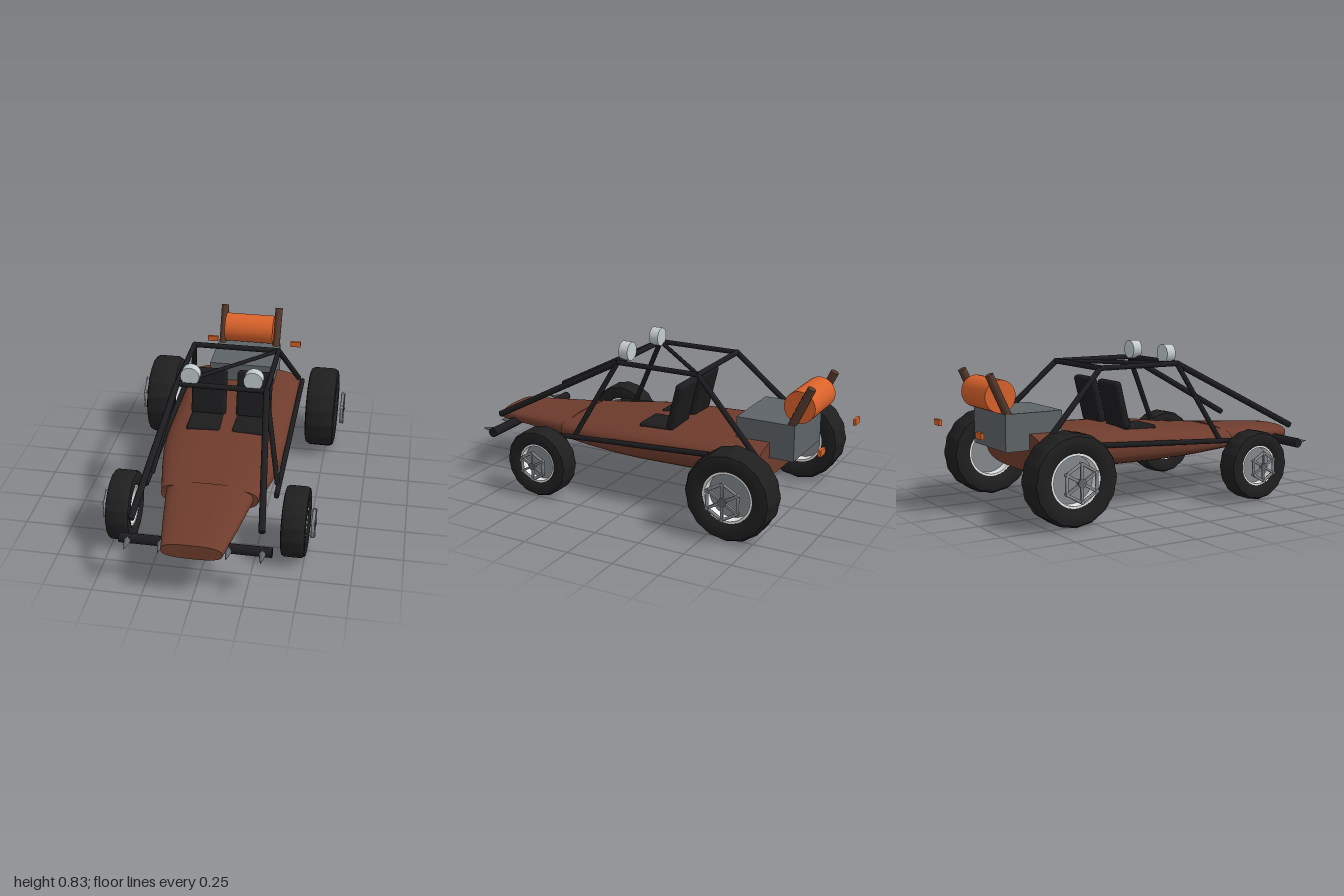
import * as THREE from 'three';
import { toCreasedNormals } from 'three/addons/utils/BufferGeometryUtils.js';
import { RoundedBoxGeometry } from 'three/addons/geometries/RoundedBoxGeometry.js';

const mat = (name, color) => {
  const m = new THREE.MeshStandardMaterial({ color });
  m.name = name;
  return m;
};

export function createModel() {
  const model = new THREE.Group();
  model.name = 'buggy';
  const rust = mat('rust paint', 0x6e3c2d);
  const black = mat('cage black', 0x1c1c1e);
  const rubber = mat('tyre rubber', 0x1f1f20);
  const grey = mat('engine grey', 0x5e6468);
  const steel = mat('rim steel', 0x85898d);
  const chrome = mat('rim lip', 0xeeeeee);
  const lamp = mat('lamp glass', 0xc4cccd);
  const orange = mat('orange', 0xd9622b);
  const pipe = mat('exhaust brown', 0x54382b);

  const add = (name, geo, material, pos = [0, 0, 0], parent = model) => {
    const m = new THREE.Mesh(geo, material);
    m.name = name;
    m.position.set(...pos);
    parent.add(m);
    return m;
  };
  const V = (p) => new THREE.Vector3(...p);
  const rod = (name, a, b, r, material = black, r2 = r) => {
    const d = V(b).sub(V(a));
    const m = add(name, new THREE.CylinderGeometry(r2, r, d.length(), 10), material,
      V(a).add(V(b)).multiplyScalar(0.5).toArray());
    m.quaternion.setFromUnitVectors(new THREE.Vector3(0, 1, 0), d.normalize());
    return m;
  };

  // Superellipse loft; sections run back to front as [z, halfWidth, bottom, top]
  const loft = (sections, n) => {
    const N = 40, pos = [], idx = [];
    const pw = (v) => Math.sign(v) * Math.abs(v) ** (2 / n);
    const ring = ([z, w, lo, hi]) => {
      for (let j = 0; j < N; j++) {
        const a = (j / N) * Math.PI * 2;
        pos.push(w * pw(Math.cos(a)), (lo + hi) / 2 + (hi - lo) / 2 * pw(Math.sin(a)), z);
      }
    };
    sections.forEach(ring);
    for (let i = 0; i < sections.length - 1; i++) {
      for (let j = 0; j < N; j++) {
        const k = (j + 1) % N, a = i * N + j, b = i * N + k;
        idx.push(a, b, b + N, a, b + N, a + N);
      }
    }
    [0, sections.length - 1].forEach((s, end) => {
      const c = pos.length / 3, [z, , lo, hi] = sections[s];
      pos.push(0, (lo + hi) / 2, z);
      for (let j = 0; j < N; j++) {
        const p = s * N + j, q = s * N + (j + 1) % N;
        if (end) idx.push(c, p, q); else idx.push(c, q, p);
      }
    });
    const g = new THREE.BufferGeometry();
    g.setAttribute('position', new THREE.Float32BufferAttribute(pos, 3));
    g.setIndex(idx);
    return toCreasedNormals(g, 0.6);
  };

  // Body shell and nose
  add('body', loft([
    [-0.69, 0.325, 0.225, 0.43], [-0.4, 0.33, 0.22, 0.425], [0, 0.33, 0.217, 0.41],
    [0.15, 0.32, 0.22, 0.395], [0.3, 0.295, 0.225, 0.375], [0.52, 0.25, 0.235, 0.355],
  ], 3), rust);
  add('nose', loft([
    [0.5, 0.228, 0.24, 0.362], [0.75, 0.19, 0.243, 0.342], [0.985, 0.15, 0.247, 0.325],
  ], 2.8), rust);

  // Seats
  for (const x of [-0.125, 0.125]) {
    const back = add('seatBack', new RoundedBoxGeometry(0.194, 0.26, 0.046, 3, 0.02), black, [x, 0.53, -0.165]);
    back.rotation.x = -0.24;
    add('seatCushion', new RoundedBoxGeometry(0.185, 0.05, 0.2, 2, 0.015), black, [x, 0.392, -0.055]);
  }

  // Roll cage, mirrored
  for (const s of [-1, 1]) {
    const front = [0.235 * s, 0.735, 0.16], rear = [0.235 * s, 0.735, -0.31];
    rod('roofRail', front, rear, 0.014);
    rod('frontStay', front, [0.32 * s, 0.36, 0.87], 0.017);
    rod('frontPillar', front, [0.33 * s, 0.315, 0.38], 0.014);
    rod('rearStay', rear, [0.315 * s, 0.39, -0.67], 0.015);
    rod('sideBar', [0.338 * s, 0.31, 0.48], [0.338 * s, 0.375, -0.67], 0.014);
  }
  for (const z of [0.16, -0.31]) rod('roofCrossbar', [-0.24, 0.735, z], [0.24, 0.735, z], 0.015);
  rod('roofDiagonal', [0.235, 0.735, -0.31], [-0.235, 0.735, 0.16], 0.011);

  // Roof lamps
  for (const x of [-0.165, 0.165]) {
    const l = add('roofLamp', new THREE.CylinderGeometry(0.05, 0.05, 0.053, 28), lamp, [x, 0.784, 0.14]);
    l.rotation.x = Math.PI / 2;
  }

  // Front bumper with spikes
  rod('bumper', [-0.375, 0.262, 0.89], [0.375, 0.262, 0.89], 0.026);
  for (const x of [-0.33, -0.165, 0.165, 0.33]) {
    rod('bumperSpike', [x, 0.262, 0.905], [x, 0.262, 0.985], 0.019, grey, 0.001);
  }

  // Engine, fuel drum, exhausts and tail lamps
  add('engine', new THREE.BoxGeometry(0.37, 0.19, 0.315), grey, [0, 0.435, -0.663]);
  const drum = add('fuelDrum', new THREE.CylinderGeometry(0.083, 0.083, 0.285, 32), orange, [0, 0.615, -0.825]);
  drum.rotation.z = Math.PI / 2;
  for (const s of [-1, 1]) {
    rod('exhaust', [0.16 * s, 0.51, -0.79], [0.162 * s, 0.728, -0.893], 0.022, pipe);
    add('tailLamp', new THREE.BoxGeometry(0.062, 0.032, 0.016), orange, [0.257 * s, 0.45, -0.991]);
  }

  // Wheel: built along y with the outside at +y, then turned sideways
  const wheel = (name, s, x, y, z, R, h) => {
    const g = new THREE.Group();
    g.name = name;
    g.position.set(s * x, y, z);
    g.rotation.z = -s * Math.PI / 2;
    model.add(g);
    const lathe = (pts, n) => new THREE.LatheGeometry(pts.map(([r, t]) => new THREE.Vector2(r * R, t * h)), n);

    // Tyre with shallow tread lumps on its outer rim
    const tyre = lathe([[0.58, -0.8], [0.68, -0.97], [0.86, -1], [0.95, -0.93], [1, -0.7],
      [1, 0.7], [0.95, 0.93], [0.86, 1], [0.68, 0.97], [0.58, 0.8], [0.58, -0.8]], 64);
    const p = tyre.attributes.position;
    for (let i = 0; i < p.count; i++) {
      const px = p.getX(i), pz = p.getZ(i), r = Math.hypot(px, pz);
      if (r > 0.9 * R) {
        const k = 0.99 + 0.012 * Math.cos(16 * Math.atan2(pz, px));
        p.setX(i, px * k);
        p.setZ(i, pz * k);
      }
    }
    add('tyre', toCreasedNormals(tyre, 0.6), rubber, [0, 0, 0], g);

    // Rim liner, dish and floating spoked cover
    add('rimLip', toCreasedNormals(lathe([[0.53, -0.78], [0.582, -0.78], [0.582, 0.78], [0.53, 0.78], [0.53, -0.78]], 40), 0.6),
      chrome, [0, 0, 0], g);
    add('rimDish', new THREE.CylinderGeometry(0.535 * R, 0.535 * R, 0.2 * h, 40), steel, [0, 0, 0], g);
    const cover = new THREE.Group();
    cover.name = 'wheelCover';
    cover.position.y = 1.42 * h;
    g.add(cover);
    const t = 0.016;
    const ring = add('coverRing', new THREE.TorusGeometry(0.41 * R, 0.009, 8, 6), steel, [0, 0, 0], cover);
    ring.rotation.x = Math.PI / 2;
    add('coverHub', new THREE.CylinderGeometry(0.1 * R, 0.1 * R, t * 1.2, 12), grey, [0, 0, 0], cover);
    for (let i = 0; i < 6; i++) {
      const a = (i / 6) * Math.PI * 2;
      const sp = add('coverSpoke', new THREE.BoxGeometry(0.34 * R, t * 0.8, 0.06 * R), steel,
        [Math.cos(a) * 0.24 * R, 0, Math.sin(a) * 0.24 * R], cover);
      sp.rotation.y = -a;
      add('coverBolt', new THREE.CylinderGeometry(0.045 * R, 0.045 * R, t * 1.3, 8), steel,
        [Math.cos(a) * 0.4 * R, 0, Math.sin(a) * 0.4 * R], cover);
    }
  };
  for (const s of [-1, 1]) {
    wheel(s > 0 ? 'frontLeftWheel' : 'frontRightWheel', s, 0.447, 0.192, 0.513, 0.184, 0.063);
    wheel(s > 0 ? 'rearLeftWheel' : 'rearRightWheel', s, 0.467, 0.237, -0.62, 0.23, 0.083);
  }
  return model;
}
